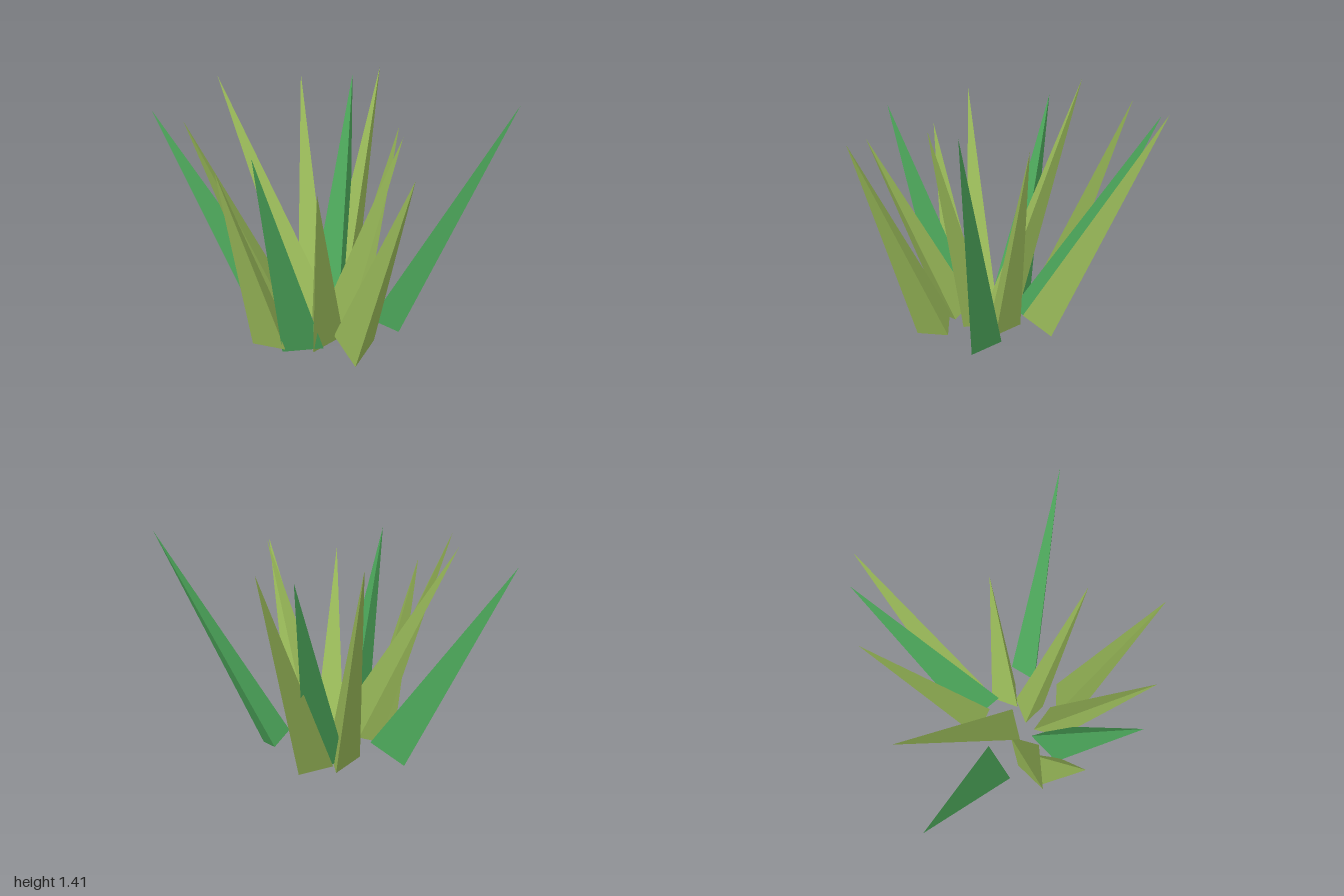
import * as THREE from 'three';

// Each blade: tip, centre of its base, one base corner, all as [x, y, z]
const OLIVE_BLADES = [
  [[-0.07, 1.375, -0.875], [0.0, 0.07, -0.18], [-0.12, 0.07, -0.17]],
  [[-0.46, 1.365, -0.52], [-0.125, 0.07, -0.065], [-0.14, 0.03, -0.17]],
  [[-0.77, 1.415, -0.05], [-0.037, 0.062, 0.128], [-0.11, 0.01, 0.05]],
  [[-0.51, 1.345, 0.645], [-0.107, 0.065, 0.295], [-0.205, 0.03, 0.33]],
  [[-0.26, 1.14, 0.75], [-0.12, 0.055, 0.46], [-0.12, 0.09, 0.338]],
  [[0.34, 1.145, 0.80], [0.13, 0.07, 0.335], [0.125, 0.03, 0.445]],
  [[0.74, 1.21, 0.59], [0.33, 0.055, 0.335], [0.4, 0.06, 0.22]],
  [[0.53, 1.285, 0.22], [0.138, 0.06, 0.167], [0.22, 0.03, 0.23]],
  [[0.315, 1.185, -0.27], [0.135, 0.065, 0.007], [0.24, 0.045, -0.01]],
];
const GREEN_BLADES = [
  [[-0.22, 1.335, -0.78], [-0.023, 0.088, -0.115], [0.035, 0.01, -0.22]],
  [[-1.0, 1.26, 0.3], [-0.33, 0.063, 0.198], [-0.31, 0.06, 0.34]],
  [[0.04, 1.295, 0.875], [0.045, 0.063, 0.412], [0.18, 0.07, 0.43]],
  [[0.99, 1.385, -0.285], [0.37, 0.06, 0.0], [0.47, 0.02, 0.01]],
];

// Three-sided spike, leaning from its base centre to its tip
function makeBlade([tip, centre, corner], material) {
  const t = new THREE.Vector3(...tip);
  const c = new THREE.Vector3(...centre);
  const toCorner = new THREE.Vector3(...corner).sub(c);
  const axis = t.clone().sub(c);
  const height = axis.length();
  const radius = toCorner.length();
  axis.normalize();

  // Turn the spike so one base corner points the given way
  const z = toCorner.addScaledVector(axis, -toCorner.dot(axis)).normalize();
  const x = axis.clone().cross(z);

  const geometry = new THREE.ConeGeometry(radius, height, 3).toNonIndexed();
  geometry.computeVertexNormals();
  geometry.translate(0, height / 2, 0);
  geometry.applyMatrix4(new THREE.Matrix4().makeBasis(x, axis, z).setPosition(c));
  return new THREE.Mesh(geometry, material);
}

export function createModel() {
  const olive = new THREE.MeshStandardMaterial({ color: 0x98b858 });
  olive.name = 'olive leaf';
  const green = new THREE.MeshStandardMaterial({ color: 0x4ca65a });
  green.name = 'green leaf';

  const plant = new THREE.Group();
  plant.name = 'grassTuft';
  for (const [name, blades, material] of [
    ['oliveBlade', OLIVE_BLADES, olive],
    ['greenBlade', GREEN_BLADES, green],
  ]) {
    blades.forEach((blade, i) => {
      const mesh = makeBlade(blade, material);
      mesh.name = name + (i + 1);
      plant.add(mesh);
    });
  }
  return plant;
}
